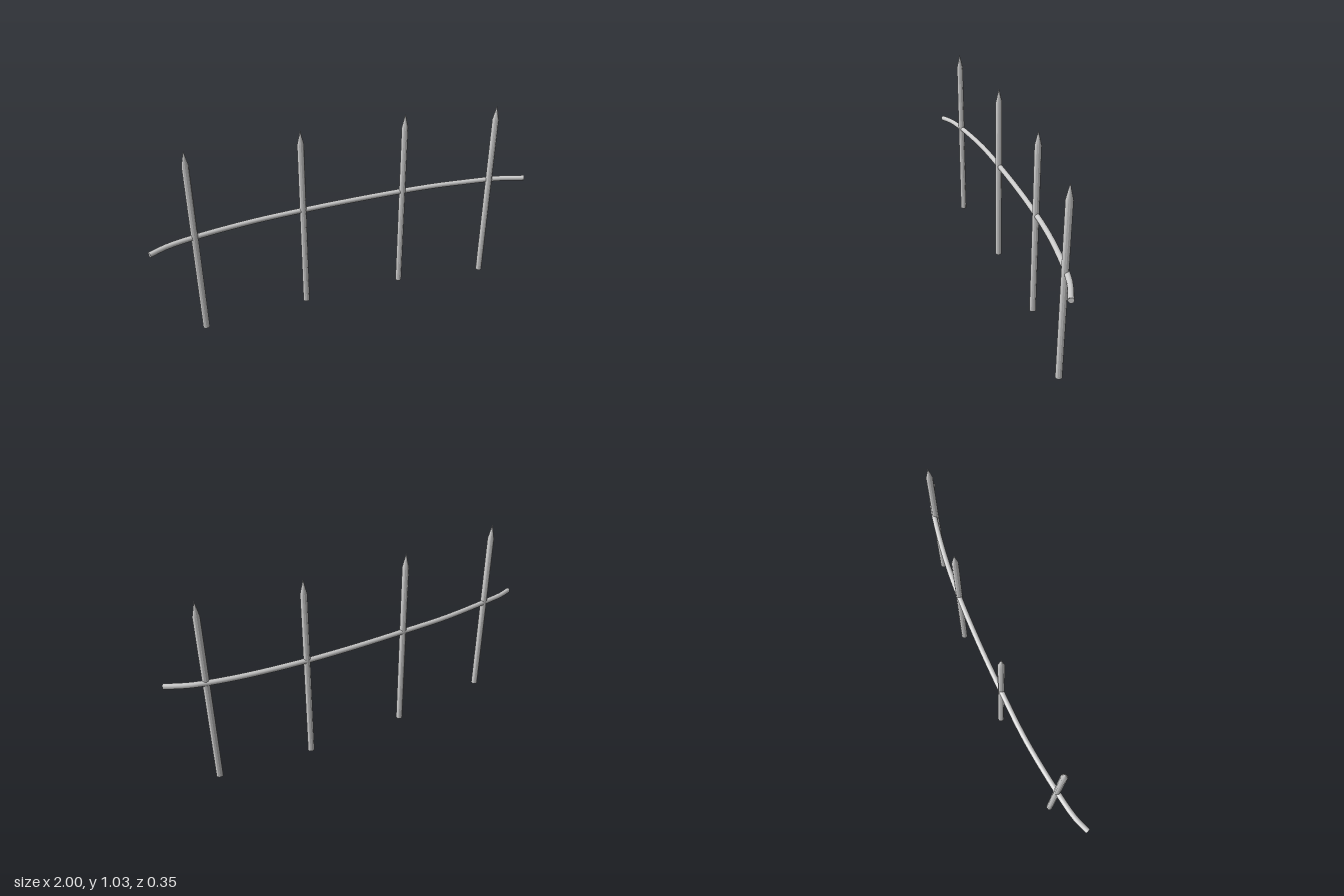
import * as THREE from 'three';
import { mergeVertices, toCreasedNormals } from 'three/addons/utils/BufferGeometryUtils.js';

const SIDES = 12;
const POST_R = 0.0172;
const RAIL_R = 0.0138;

export function createModel() {
  const fence = new THREE.Group();
  fence.name = 'stakeFence';
  const material = new THREE.MeshStandardMaterial({ color: 0xcccccc });

  const add = (geometry, name, parent = fence) => {
    const mesh = new THREE.Mesh(geometry, material);
    mesh.name = name;
    parent.add(mesh);
    return mesh;
  };

  // Sharpened stakes: straight shaft with a conical tip
  const profile = [[0, 0], [POST_R, 0], [POST_R, 0.943], [0, 1.021]]
    .map(([r, y]) => new THREE.Vector2(r, y));
  const stakeGeometry = toCreasedNormals(
    mergeVertices(new THREE.LatheGeometry(profile, SIDES).deleteAttribute('normal')), 0.7);
  [
    [-0.78, 0, 0.074],
    [-0.23, 0, -0.057],
    [0.315, 0.009, -0.139],
    [0.805, 0.009, -0.153],
  ].forEach((p, i) => add(stakeGeometry, `stake${i + 1}`).position.set(...p));

  // Bowed rail running through the stakes, bent a little at both ends
  const path = new THREE.CatmullRomCurve3([
    [-0.992, 0.539, 0.164],
    [-0.92, 0.547, 0.122],
    [-0.78, 0.556, 0.072],
    [-0.505, 0.565, -0.006],
    [-0.23, 0.573, -0.06],
    [0.05, 0.579, -0.107],
    [0.315, 0.585, -0.142],
    [0.5, 0.59, -0.158],
    [0.65, 0.593, -0.163],
    [0.8, 0.598, -0.161],
    [0.88, 0.601, -0.154],
    [0.996, 0.606, -0.127],
  ].map((p) => new THREE.Vector3(...p)));
  const rail = new THREE.Group();
  rail.name = 'rail';
  fence.add(rail);
  add(new THREE.TubeGeometry(path, 48, RAIL_R, SIDES), 'railBar', rail);

  // Flat cut ends of the rail
  for (const [t, direction, name] of [[0, -1, 'railEndRight'], [1, 1, 'railEndLeft']]) {
    const cap = add(new THREE.CircleGeometry(RAIL_R, SIDES), name, rail);
    cap.position.copy(path.getPointAt(t));
    cap.quaternion.setFromUnitVectors(
      new THREE.Vector3(0, 0, 1), path.getTangentAt(t).multiplyScalar(direction));
  }

  return fence;
}
